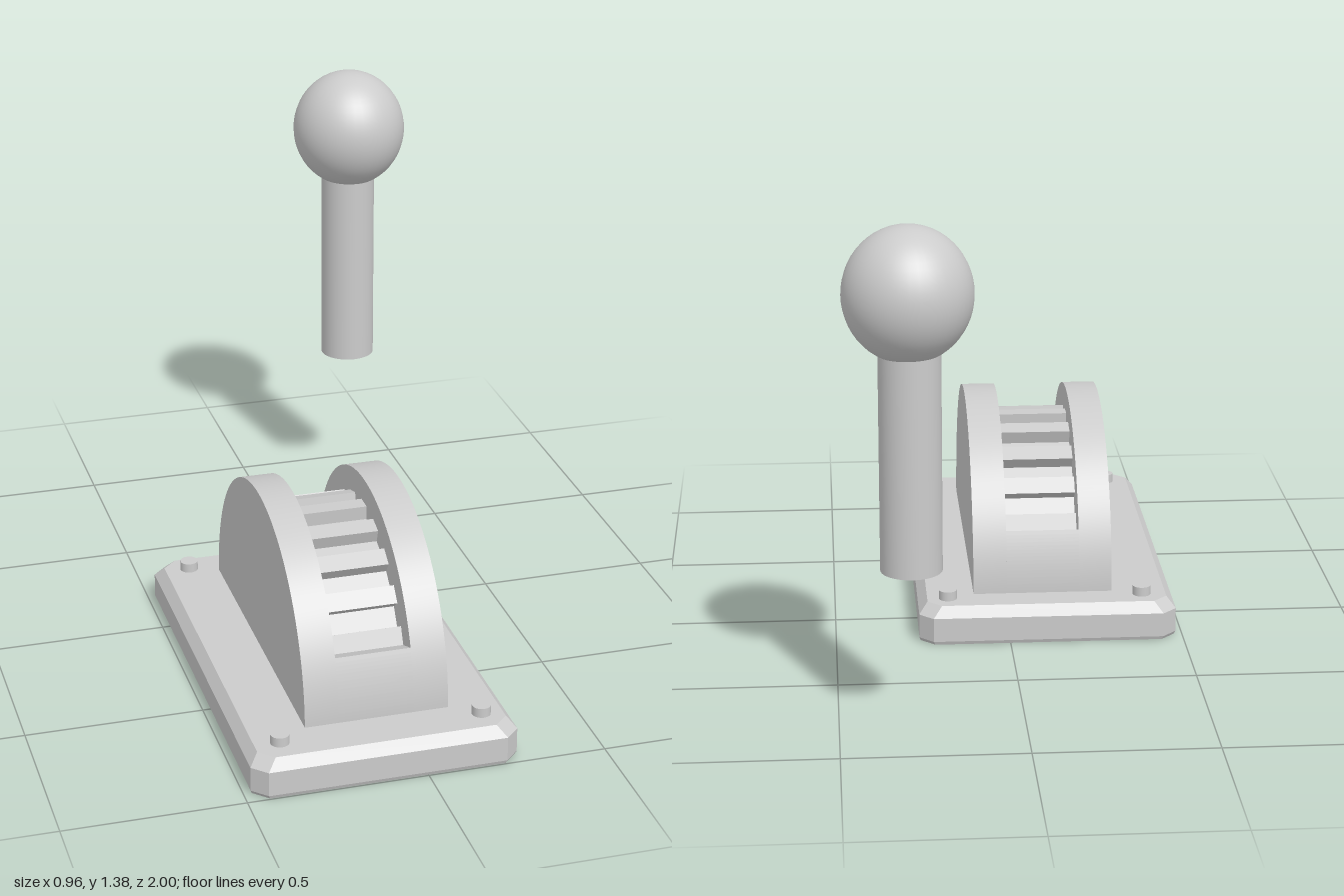
import * as THREE from 'three';
import { toCreasedNormals } from 'three/addons/utils/BufferGeometryUtils.js';

const material = new THREE.MeshStandardMaterial({ color: 0xcccccc });

function add(parent, name, geometry, x = 0, y = 0, z = 0) {
  const mesh = new THREE.Mesh(geometry, material);
  mesh.name = name;
  mesh.position.set(x, y, z);
  parent.add(mesh);
  return mesh;
}

// Rectangle with cut corners, given as [x, z] points
function cutRectangle(halfX, halfZ, cut) {
  return [
    [halfX, halfZ - cut], [halfX - cut, halfZ], [cut - halfX, halfZ], [-halfX, halfZ - cut],
    [-halfX, cut - halfZ], [cut - halfX, -halfZ], [halfX - cut, -halfZ], [halfX, cut - halfZ],
  ];
}

// Base plate stacked from cut rectangles: recessed underside, thin rim, bevelled top
function plateGeometry(halfX, halfZ) {
  const recess = 0.04, height = 0.11;
  const levels = [[recess, 0.014], [0, 0.014], [0, 0.004], [0.01, 0], [0.08, 0], [height, 0.025]]; // height, inset
  const rings = levels.map(([y, inset]) =>
    cutRectangle(halfX - inset, halfZ - inset, 0.04).map(([x, z]) => new THREE.Vector3(x, y, z)));
  const corners = [];
  const n = rings[0].length;
  const top = rings[rings.length - 1];
  for (let i = 0; i < n; i++) {
    const j = (i + 1) % n;
    for (let k = 0; k < rings.length - 1; k++) {
      const a = rings[k][i], b = rings[k][j], c = rings[k + 1][j], d = rings[k + 1][i];
      corners.push(a, d, c, a, c, b);
    }
    corners.push(new THREE.Vector3(0, height, 0), top[j], top[i]);
    corners.push(new THREE.Vector3(0, recess, 0), rings[0][i], rings[0][j]);
  }
  const geometry = new THREE.BufferGeometry().setFromPoints(corners);
  geometry.computeVertexNormals();
  return geometry;
}

// Extrude a (z, y) profile along x between two planes
function slab(shape, xMin, xMax) {
  const geometry = new THREE.ExtrudeGeometry(shape, { depth: xMax - xMin, bevelEnabled: false, curveSegments: 48 });
  geometry.rotateY(-Math.PI / 2);
  geometry.translate(xMax, 0, 0);
  return toCreasedNormals(geometry, 0.5);
}

export function createModel() {
  const model = new THREE.Group();
  model.name = 'leverSwitch';

  // Base plate and its four bolts
  add(model, 'basePlate', plateGeometry(0.371, 0.611), -0.11, 0, 0.389);
  for (const sx of [-1, 1]) {
    for (const sz of [-1, 1]) {
      add(model, 'bolt', new THREE.CylinderGeometry(0.026, 0.026, 0.04, 20),
        -0.105 + sx * 0.281, 0.117, 0.385 + sz * 0.52);
    }
  }

  // Half-round housing: two solid cheeks around a toothed core
  const housing = new THREE.Group();
  housing.name = 'housing';
  housing.position.set(0, 0.107, 0.372);
  model.add(housing);
  const radius = 0.478;
  const cheek = new THREE.Shape();
  cheek.absarc(0, 0, radius, 0, Math.PI, false);
  cheek.closePath();
  add(housing, 'rightCheek', slab(cheek, -0.302, -0.208));
  add(housing, 'leftCheek', slab(cheek, 0.003, 0.1));

  // Core: outer arc below the slot ends, concentric teeth between them
  const degree = Math.PI / 180;
  const slotAngle = 22.3 * degree;
  const toothRadius = 0.408, rootRadius = 0.368;
  const core = new THREE.Shape();
  const corner = (r, a) => core.lineTo(r * Math.cos(a), r * Math.sin(a));
  core.absarc(0, 0, radius, 0, slotAngle, false);
  corner(rootRadius, slotAngle);
  for (let i = -4; i <= 4; i++) {
    const middle = (90 + 16 * i) * degree, half = 3.6 * degree;
    corner(rootRadius, middle - half);
    corner(toothRadius, middle - half);
    corner(toothRadius, middle + half);
    corner(rootRadius, middle + half);
  }
  corner(rootRadius, Math.PI - slotAngle);
  core.absarc(0, 0, radius, Math.PI - slotAngle, Math.PI, false);
  core.closePath();
  add(housing, 'toothedTrack', slab(core, -0.208, 0.003));

  // Detached lever: round stem with a slightly tall ball knob
  const lever = new THREE.Group();
  lever.name = 'lever';
  lever.position.set(0.307, 0, -0.828);
  model.add(lever);
  add(lever, 'stem', new THREE.CylinderGeometry(0.082, 0.082, 0.605, 40), -0.003, 0.7575, 0);
  const knob = new THREE.SphereGeometry(0.171, 40, 28).scale(1, 1.05, 1);
  add(lever, 'knob', knob, 0, 1.2, 0);

  return model;
}
